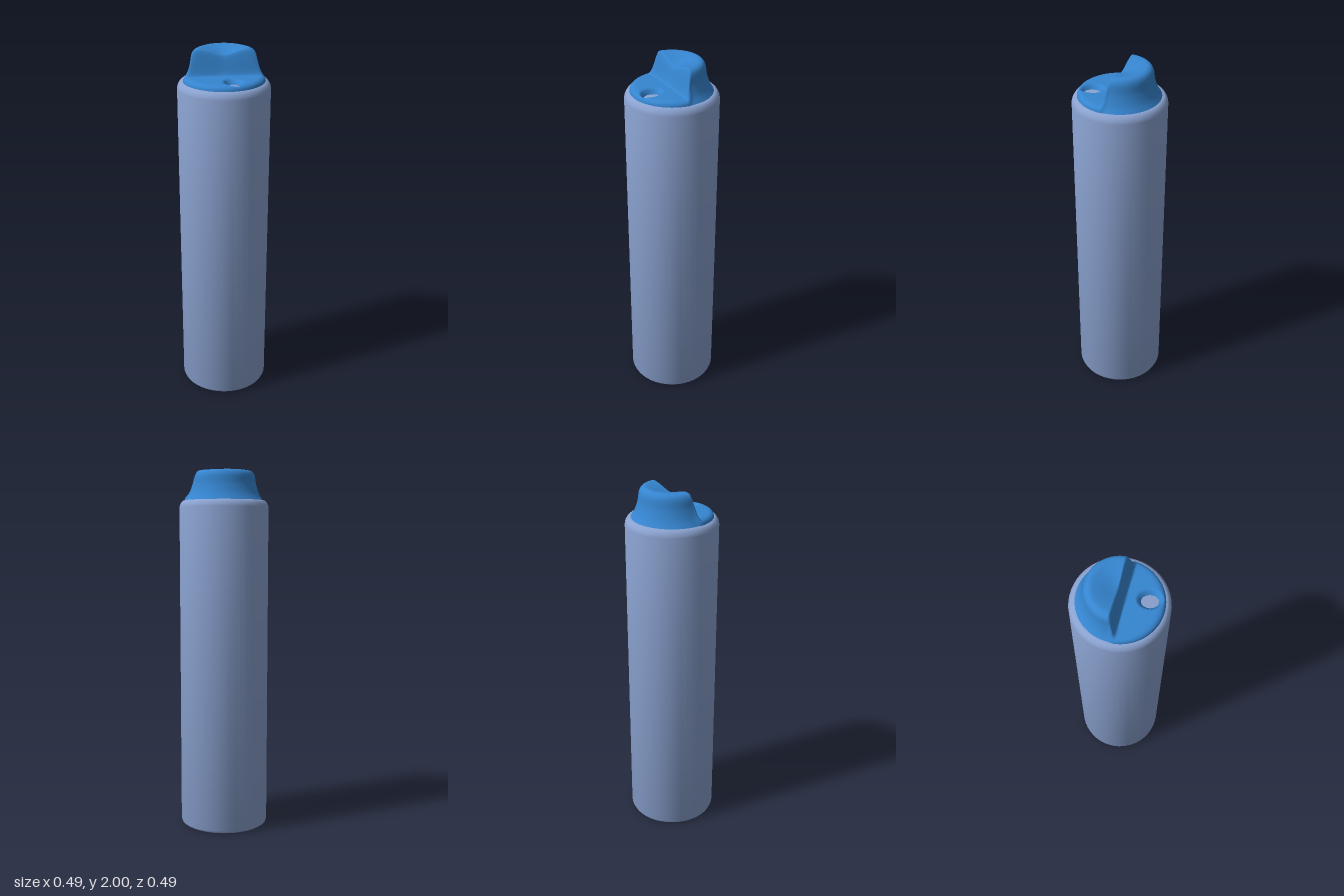
import * as THREE from 'three';
import { toCreasedNormals } from 'three/addons/utils/BufferGeometryUtils.js';

const curve = (pts) => new THREE.SplineCurve(pts.map(([r, y]) => new THREE.Vector2(r, y)));
const smooth = THREE.MathUtils.smoothstep;

// Radial profiles of the cap, from the centre out to the rim
const grip = curve([[0, 1.997], [0.05, 1.998], [0.1, 1.999], [0.145, 1.998], [0.168, 1.975], [0.178, 1.92], [0.195, 1.87], [0.22, 1.83]]);
const ledge = curve([[0, 1.865], [0.05, 1.865], [0.1, 1.865], [0.15, 1.865], [0.185, 1.865], [0.203, 1.861], [0.215, 1.85], [0.22, 1.83]]);

// One point of the cap: raised half behind a diagonal wall, low ledge with a nozzle hollow in front
function capPoint(t, angle) {
  const hi = grip.getPoint(t), lo = ledge.getPoint(t);
  const c = Math.cos(angle), s = Math.sin(angle);
  const x = lo.x * c, z = lo.x * s;
  const behind = -(0.43 * x + 0.9 * z), along = 0.9 * x - 0.43 * z;
  const raise = smooth(behind, -0.028, 0.012);
  const r = THREE.MathUtils.lerp(lo.x, hi.x, raise);

  // finger scoop in the top, deepest at the wall
  const scoop = 0.03 * Math.exp(-((along / 0.08) ** 2)) * (1 - smooth(behind, 0, 0.15));
  // nozzle hollow, elongated along the radius
  const a = 0.63 * x + 0.776 * z - 0.142, b = 0.776 * x - 0.63 * z;
  const hollow = 0.052 * (1 - smooth(Math.hypot(a / 0.07, b / 0.055), 0.25, 1));

  const y = THREE.MathUtils.lerp(lo.y - hollow, hi.y - scoop, raise);
  return [r * c, y, r * s];
}

function capGeometry(rings = 56, sides = 144) {
  const pos = [], index = [];
  for (let i = 0; i <= rings; i++) {
    for (let j = 0; j < sides; j++) pos.push(...capPoint(i / rings, (j / sides) * Math.PI * 2));
  }
  for (let i = 0; i < rings; i++) {
    for (let j = 0; j < sides; j++) {
      const k = (j + 1) % sides;
      const p = i * sides + j, q = p + sides, u = (i + 1) * sides + k, v = i * sides + k;
      if (i > 0) index.push(p, v, u);
      index.push(p, u, q);
    }
  }
  const g = new THREE.BufferGeometry();
  g.setAttribute('position', new THREE.Float32BufferAttribute(pos, 3));
  g.setIndex(index);
  g.computeVertexNormals();
  return g;
}

export function createModel() {
  const model = new THREE.Group();

  // Can body with a bevelled foot, rounded shoulder and closed top
  const profile = [[0, 0], [0.232, 0], [0.242, 0.006], [0.247, 0.018], [0.247, 1.8], [0.244, 1.813], [0.236, 1.827], [0.226, 1.836], [0.215, 1.838], [0, 1.838]];
  const bodyGeometry = new THREE.LatheGeometry(profile.map(([r, y]) => new THREE.Vector2(r, y)), 48);
  const body = new THREE.Mesh(toCreasedNormals(bodyGeometry, 0.6), new THREE.MeshStandardMaterial({ color: 0x8aa2d0 }));
  body.name = 'canBody';

  // Spray cap
  const cap = new THREE.Mesh(capGeometry(), new THREE.MeshStandardMaterial({ color: 0x3585d0 }));
  cap.name = 'sprayCap';

  model.add(body, cap);
  return model;
}
